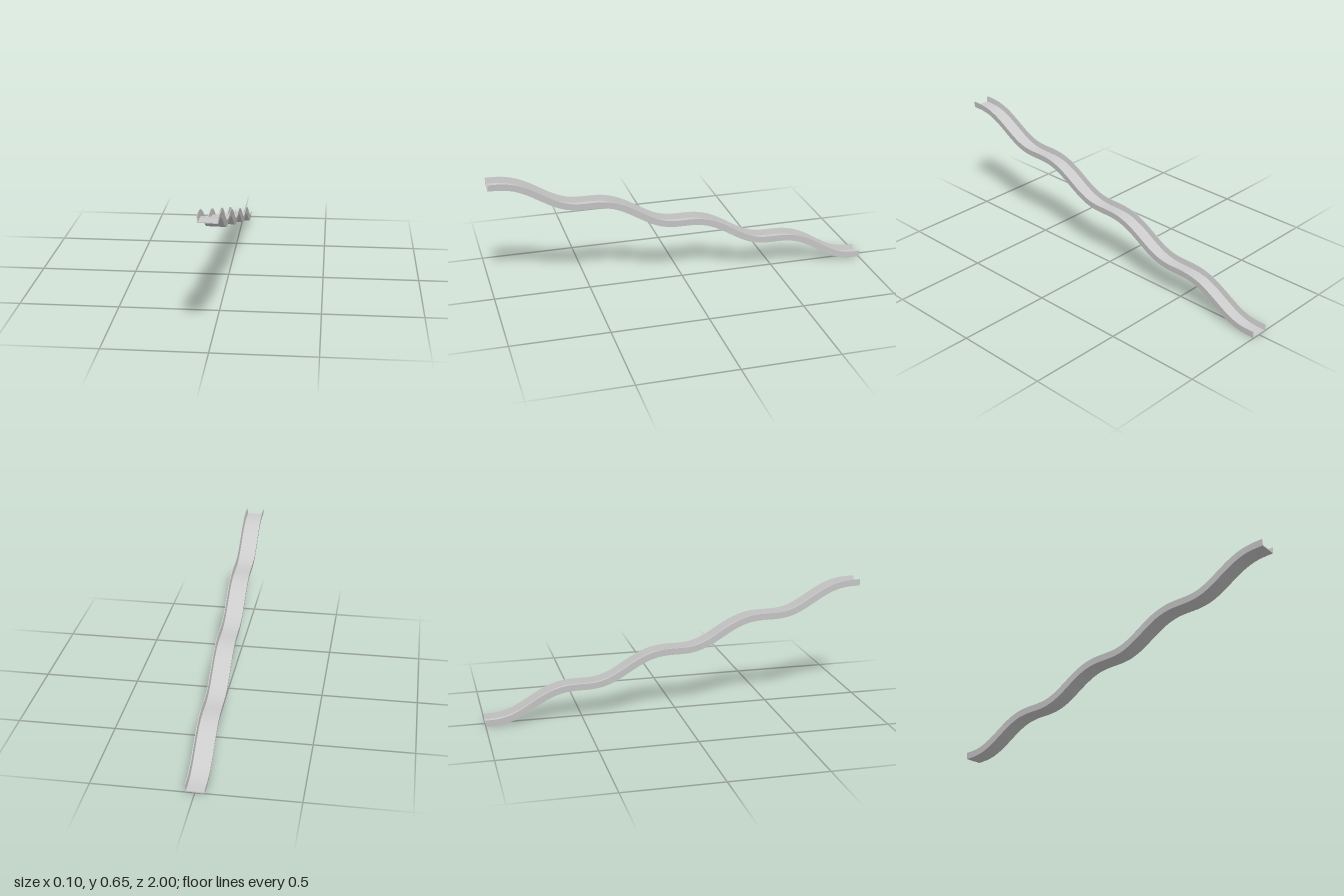
import * as THREE from 'three';
import { toCreasedNormals } from 'three/addons/utils/BufferGeometryUtils.js';

const RISE = 0.615;  // height gained from the low back end to the high front end
const WAVES = 4;
const ROLL = 0.03;   // slight twist along the run

// Height and slope of the wavy run; it levels out at both ends and between waves
const height = z => (RISE / 2) * (z + 1 - Math.sin(WAVES * Math.PI * (z + 1)) / (WAVES * Math.PI));
const slope = z => (RISE / 2) * (1 - Math.cos(WAVES * Math.PI * (z + 1)));

export function createModel() {
  const group = new THREE.Group();
  group.name = 'wavySlide';

  // Channel cross-section: flat floor with two thin walls leaning outwards
  const section = new THREE.Shape([
    [-0.046, 0], [0.046, 0], [0.05, 0.035], [0.0465, 0.035],
    [0.0425, 0.005], [-0.0425, 0.005], [-0.0465, 0.035], [-0.05, 0.035],
  ].map(([x, y]) => new THREE.Vector2(x, y)));

  let geometry = new THREE.ExtrudeGeometry(section, { depth: 2, steps: 96, bevelEnabled: false });
  geometry.translate(0, 0, -1);

  // Bend the straight channel along the waves, square to the slope
  const pos = geometry.attributes.position;
  for (let i = 0; i < pos.count; i++) {
    const x = pos.getX(i), y = pos.getY(i), z = pos.getZ(i);
    const roll = -ROLL * z, pitch = Math.atan(slope(z));
    const rx = x * Math.cos(roll) - y * Math.sin(roll);
    const ry = x * Math.sin(roll) + y * Math.cos(roll);
    pos.setXYZ(i, rx - 0.0005, height(z) + ry * Math.cos(pitch) + 0.0015, z - ry * Math.sin(pitch));
  }
  geometry = toCreasedNormals(geometry, Math.PI / 6);

  const channel = new THREE.Mesh(geometry, new THREE.MeshStandardMaterial({ color: 0xcccccc }));
  channel.name = 'slideChannel';
  group.add(channel);
  return group;
}
